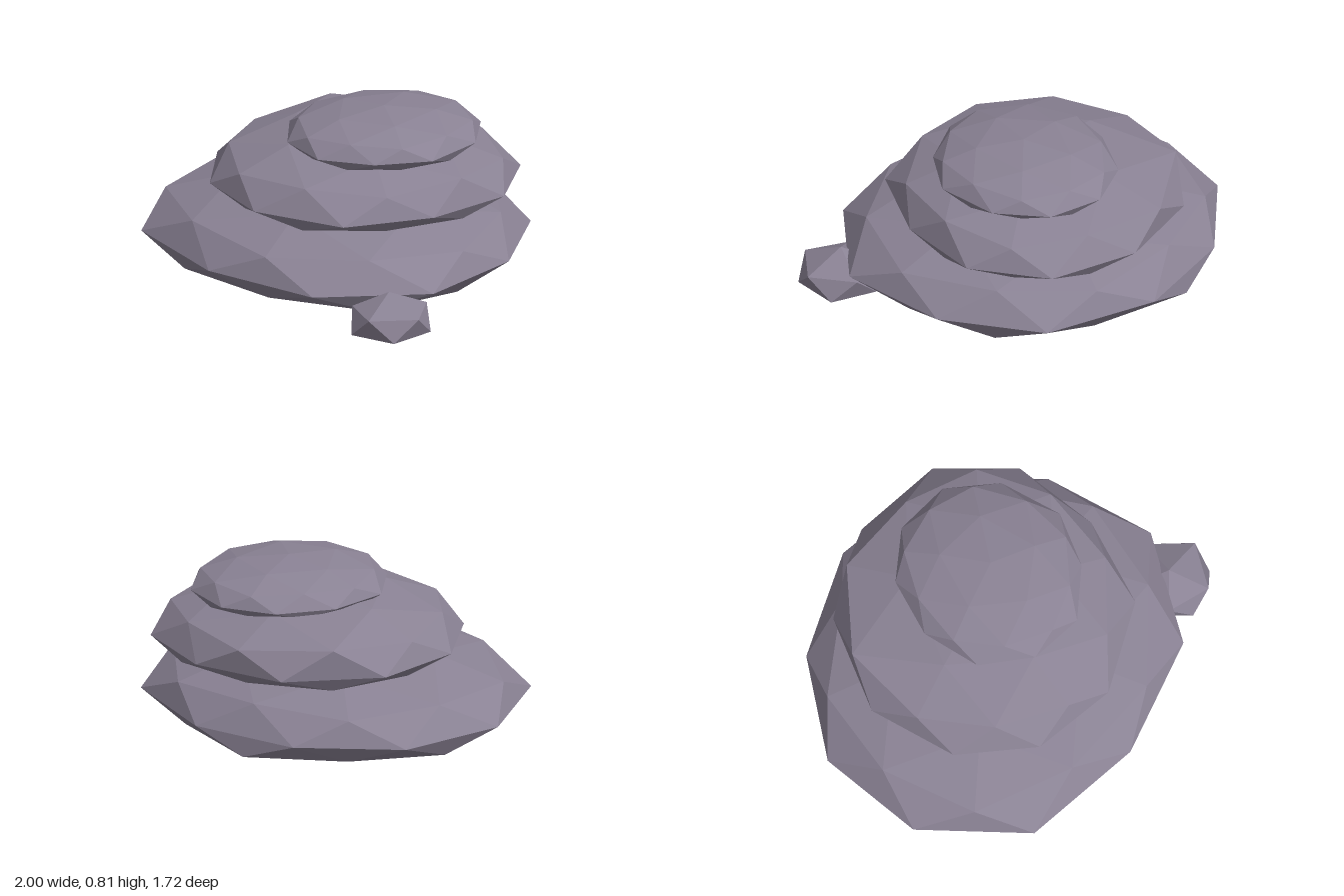
import * as THREE from 'three';

// Collects triangles and turns them into a faceted mesh
function facetMesh(name, triangles, material) {
  const geometry = new THREE.BufferGeometry().setFromPoints(triangles.flat());
  geometry.computeVertexNormals();
  const mesh = new THREE.Mesh(geometry, material);
  mesh.name = name;
  return mesh;
}

// Joins two rings of equal length; shift 1: lower points follow the upper ones by half a step, shift 0: they precede
function stitch(triangles, upper, lower, shift) {
  const n = upper.length;
  for (let i = 0; i < n; i++) {
    const j = (i + 1) % n;
    if (shift) triangles.push([upper[i], upper[j], lower[i]], [upper[j], lower[j], lower[i]]);
    else triangles.push([upper[i], lower[j], lower[i]], [upper[i], upper[j], lower[j]]);
  }
}

// Fans a ring to a point above or below it
function cap(triangles, ring, point, isTop) {
  ring.forEach((p, i) => {
    const q = ring[(i + 1) % ring.length];
    triangles.push(isTop ? [point, q, p] : [point, p, q]);
  });
}

// Flattened boulder: ten-point rim, faceted dome above, short undercut to a flat bottom
function slab({ name, centre, rim, rimY, bottomY, rise, bulge = {}, flare = {} }, material) {
  const [cx, cz] = centre;
  const at = (x, y, z) => new THREE.Vector3(x, y, z);
  const equator = rim.map(([x, z]) => at(x, rimY, z));
  // Point between two rim points, pulled towards the centre by s
  const between = (a, b, s, y) => at(
    cx + ((a.x + b.x) / 2 - cx) * s, y, cz + ((a.z + b.z) / 2 - cz) * s);
  const upper = [], lower = [], crown = [];
  for (let i = 0; i < 10; i++) {
    const a = equator[(i + 9) % 10], b = equator[i];
    const k = bulge[i] ?? 1, even = i % 2 === 0;
    upper.push(between(a, b, (even ? 0.94 : 0.895) * k, rimY + rise * k * (even ? 0.447 : 0.526)));
    lower.push(between(a, b, (even ? 0.895 : 0.94) * (flare[i] ?? 1), bottomY));
    if (even) crown.push(between(a, b, 0.553, rimY + rise * 0.851));
  }
  const triangles = [];
  cap(triangles, crown, at(cx, rimY + rise, cz), true);
  crown.forEach((p, k) => {
    const q = crown[(k + 1) % 5];
    const u = upper[2 * k], v = upper[2 * k + 1], w = upper[(2 * k + 2) % 10];
    triangles.push([p, q, v], [p, v, u], [q, w, v]);
  });
  stitch(triangles, upper, equator, 1);
  stitch(triangles, equator, lower, 0);
  cap(triangles, lower, at(cx, bottomY, cz), false);
  return facetMesh(name, triangles, material);
}

// Small five-sided stone resting on the ground
function pebble(material) {
  const cx = 0.79, cz = 0.46;
  const ring = (start, radii, y) => radii.map((r, i) => {
    const a = start + i * Math.PI * 0.4;
    return new THREE.Vector3(cx + Math.cos(a) * r, y, cz + Math.sin(a) * r);
  });
  const upper = ring(0, [0.21, 0.2, 0.18, 0.19, 0.2], 0.105);
  const lower = ring(Math.PI / 5, [0.205, 0.2, 0.21, 0.2, 0.205], 0);
  const triangles = [];
  cap(triangles, upper, new THREE.Vector3(cx, 0.19, cz), true);
  stitch(triangles, upper, lower, 1);
  cap(triangles, lower, new THREE.Vector3(cx, 0, cz), false);
  return facetMesh('pebble', triangles, material);
}

export function createModel() {
  const stone = new THREE.MeshStandardMaterial({ color: 0x8a8294, flatShading: true });
  stone.name = 'greyStone';
  const group = new THREE.Group();
  group.name = 'stackedRocks';

  const slabs = [
    {
      name: 'baseRock', centre: [-0.06, 0], rimY: 0.16, bottomY: 0.06, rise: 0.27,
      rim: [[0.9, 0.27], [0.54, 0.73], [-0.06, 0.855], [-0.67, 0.73], [-1, 0.25],
        [-0.96, -0.29], [-0.59, -0.69], [-0.06, -0.86], [0.51, -0.73], [0.83, -0.29]],
      flare: { 7: 1.08 },
    },
    {
      name: 'middleRock', centre: [0, -0.07], rimY: 0.44, bottomY: 0.37, rise: 0.25,
      rim: [[0.49, 0.48], [0.04, 0.65], [-0.38, 0.55], [-0.66, 0.24], [-0.71, -0.21],
        [-0.44, -0.64], [0.01, -0.8], [0.46, -0.71], [0.71, -0.37], [0.69, 0.07]],
      bulge: { 5: 1.12, 6: 1.07, 9: 1.04 },
    },
    {
      name: 'topRock', centre: [0.13, -0.12], rimY: 0.67, bottomY: 0.62, rise: 0.14,
      rim: [[0.42, 0.21], [0.18, 0.36], [-0.09, 0.31], [-0.29, 0.11], [-0.31, -0.19],
        [-0.18, -0.46], [0.06, -0.6], [0.34, -0.56], [0.53, -0.35], [0.57, -0.03]],
    },
  ];
  slabs.forEach((s) => group.add(slab(s, stone)));
  group.add(pebble(stone));
  return group;
}
